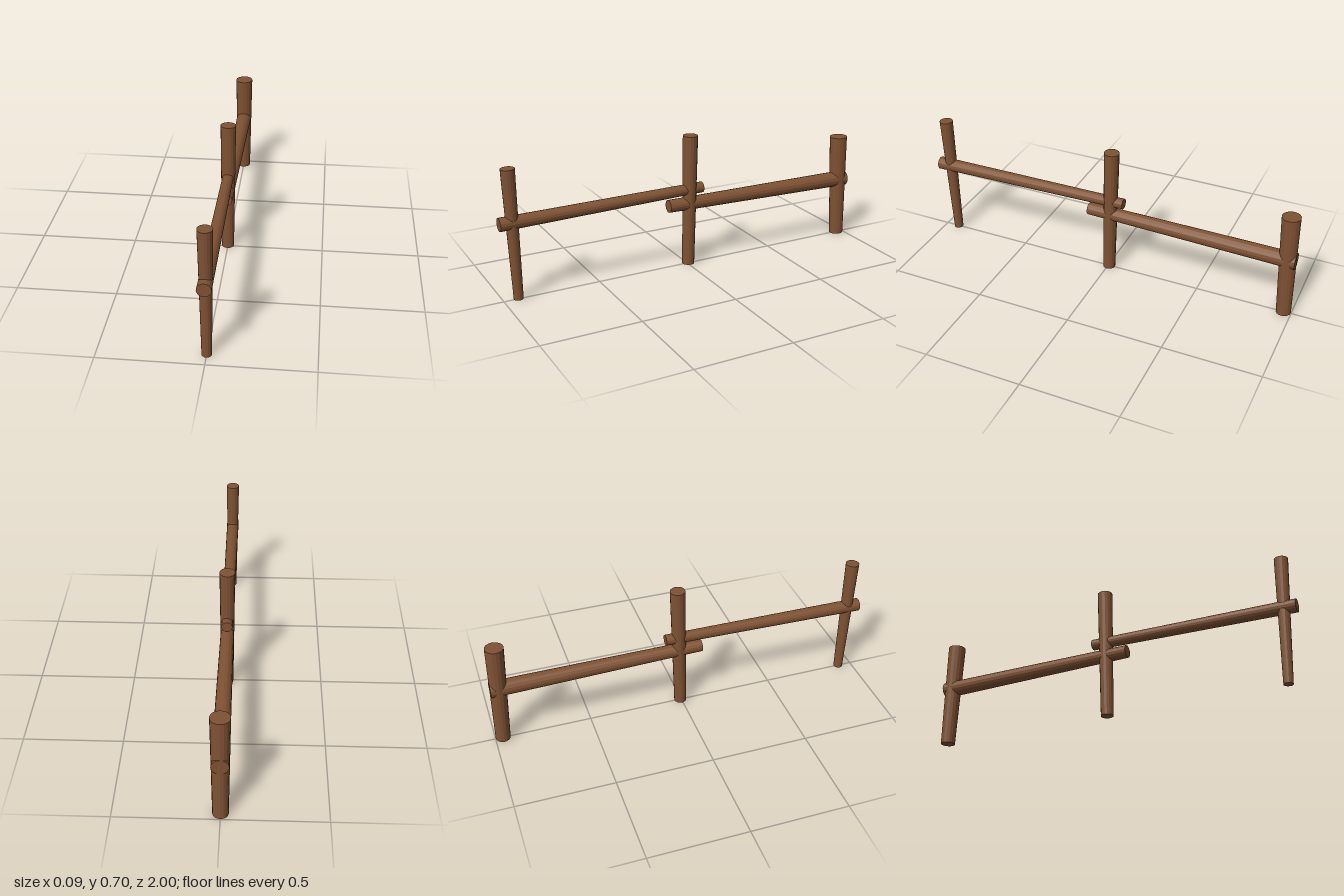
import * as THREE from 'three';

const wood = new THREE.MeshStandardMaterial({ color: 0x7f5233, flatShading: true });

// Tapered log between two points [y, z] on the centre plane
function log(name, [y0, z0], r0, [y1, z1], r1) {
  const a = new THREE.Vector3(0, y0, z0);
  const b = new THREE.Vector3(0, y1, z1);
  const dir = b.clone().sub(a);
  const mesh = new THREE.Mesh(new THREE.CylinderGeometry(r1, r0, dir.length(), 16), wood);
  mesh.name = name;
  mesh.position.copy(a).add(b).multiplyScalar(0.5);
  mesh.quaternion.setFromUnitVectors(new THREE.Vector3(0, 1, 0), dir.normalize());
  return mesh;
}

export function createModel() {
  const fence = new THREE.Group();
  fence.name = 'logFence';
  fence.add(
    // Posts, wider at the top and leaning slightly
    log('frontPost', [0, 0.926], 0.024, [0.665, 0.941], 0.035),
    log('middlePost', [0, -0.006], 0.032, [0.695, -0.019], 0.039),
    log('backPost', [0, -0.961], 0.038, [0.565, -0.944], 0.047),
    // Rails, overlapping at the middle post
    log('upperRail', [0.41, -0.086], 0.028, [0.396, 1.0], 0.034),
    log('lowerRail', [0.335, 0.108], 0.033, [0.319, -0.993], 0.042),
  );
  return fence;
}
